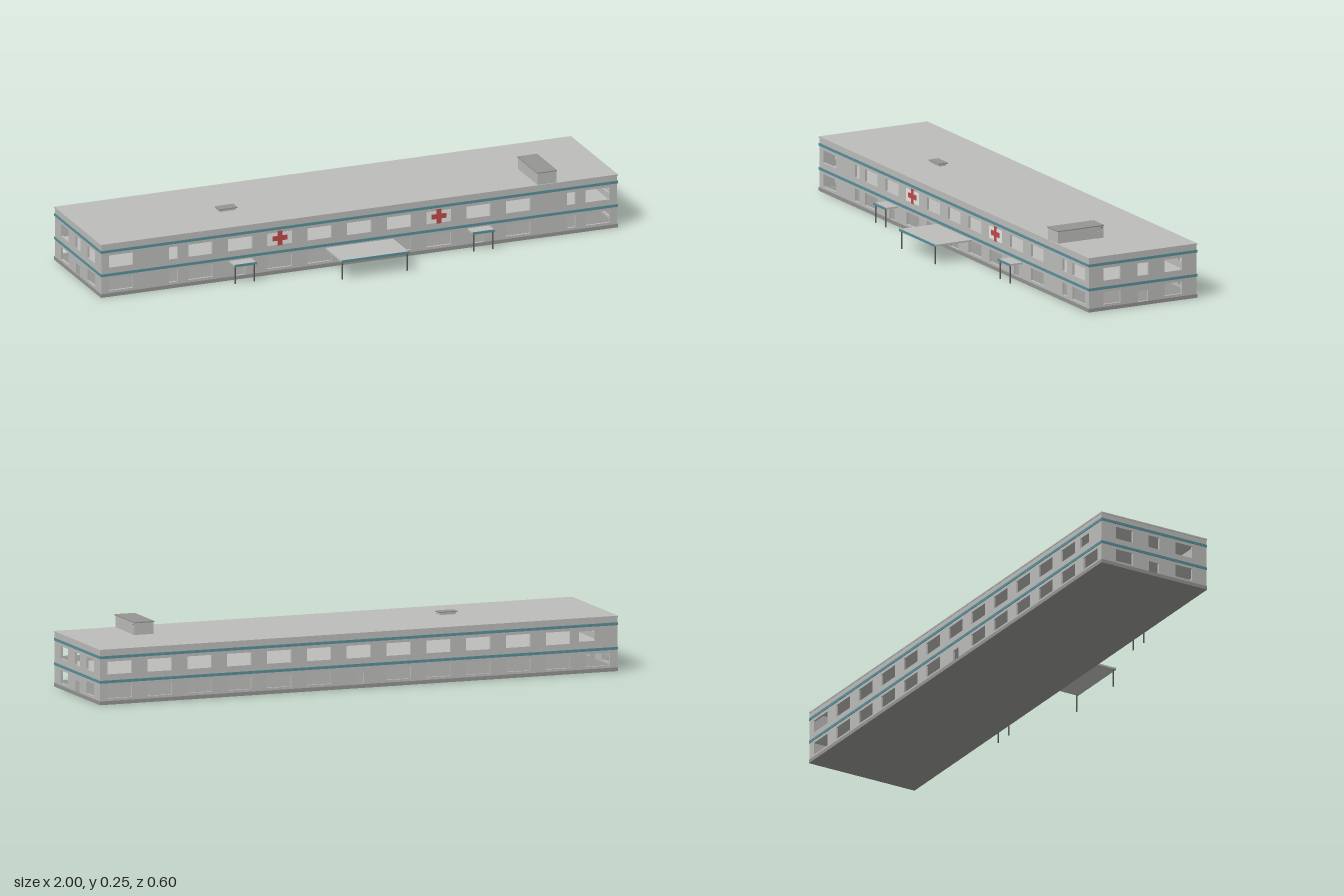
import * as THREE from 'three';

const mat = (name, color) => {
  const m = new THREE.MeshStandardMaterial({ color });
  m.name = name;
  return m;
};

export function createModel() {
  const wall = mat('wall grey', 0xbcbcba);
  const trim = mat('trim grey', 0x949493);
  const teal = mat('teal', 0x5a909a);
  const red = mat('red', 0xc04a4a);
  const white = mat('white', 0xf6f6f4);
  const metal = mat('dark metal', 0x5c5c5c);

  const model = new THREE.Group();
  model.name = 'building';

  // Box given by its extents on each axis
  const box = (name, m, x0, x1, y0, y1, z0, z1, parent = model) => {
    const mesh = new THREE.Mesh(new THREE.BoxGeometry(x1 - x0, y1 - y0, z1 - z0), m);
    mesh.position.set((x0 + x1) / 2, (y0 + y1) / 2, (z0 + z1) / 2);
    mesh.name = name;
    parent.add(mesh);
    return mesh;
  };

  const X = 0.998, ZB = -0.296, ZF = 0.144, T = 0.008;
  const BASE = 0.013, TOP = 0.197;
  const UP = [0.11, 0.156], LOW = [0.022, 0.068], DOOR = [0.0135, 0.054];

  // Wall panel in its own plane, with rectangular openings [u0, u1, [y0, y1]]
  const panel = (name, u0, u1, openings) => {
    const rect = (path, a, b, c, d) =>
      path.moveTo(a, c).lineTo(b, c).lineTo(b, d).lineTo(a, d).lineTo(a, c);
    const shape = new THREE.Shape();
    rect(shape, u0, u1, BASE, TOP);
    for (const [a, b, [c, d]] of openings) {
      const hole = new THREE.Path();
      rect(hole, a, b, c, d);
      shape.holes.push(hole);
    }
    const geo = new THREE.ExtrudeGeometry(shape, { depth: T, bevelEnabled: false });
    const mesh = new THREE.Mesh(geo, wall);
    mesh.name = name;
    model.add(mesh);
    return mesh;
  };
  const opening = (x, w, ys) => [x - w / 2, x + w / 2, ys];

  // Window bays along the long walls
  const STEP = 0.1537, W = 0.094;
  const front = [], back = [];
  for (let i = -6; i <= 6; i++) {
    const x = i * STEP;
    if (i === -5 || i === 5) {
      // Narrow stair windows on the front
      const nx = i < 0 ? -0.719 : 0.82;
      front.push(opening(nx, 0.034, UP), opening(nx, 0.034, LOW));
    } else {
      front.push(opening(x, W, UP));
      if (i === 0) front.push(opening(x, 0.06, DOOR));
      else if (Math.abs(i) === 3) front.push(opening(x, 0.04, DOOR));
      else front.push(opening(x, W, LOW));
    }
    back.push(i === -6 ? [-0.91, -0.85, [0.115, 0.152]] : opening(x, W, UP));
    back.push(i === 0 ? opening(x, 0.038, DOOR) : opening(x, W, LOW));
  }
  panel('frontWall', -X, X, front).position.z = ZF - T;
  panel('backWall', -X, X, back).position.z = ZB;

  // End walls, drawn with u = -z and turned to face sideways
  const ends = [];
  for (const ys of [UP, LOW]) ends.push([-0.084, -0.014, ys], [0.165, 0.236, ys]);
  ends.push([0.054, 0.099, UP], [0.056, 0.098, DOOR]);
  for (const s of [-1, 1]) {
    const end = panel(s > 0 ? 'leftEndWall' : 'rightEndWall', -ZF + T, -ZB - T, ends);
    end.rotation.y = Math.PI / 2;
    end.position.x = s > 0 ? X - T : -X;
  }

  // Plinth, upper floor and flat roof
  box('plinth', trim, -1, 1, 0, 0.0135, ZB - 0.002, ZF + 0.002);
  box('upperFloor', wall, -X + T, X - T, 0.079, 0.087, ZB + T, ZF - T);
  box('roof', wall, -1, 1, 0.196, 0.201, ZB - 0.002, ZF + 0.002);

  // Teal bands around all four sides
  for (const [y0, y1] of [[0.078, 0.088], [0.167, 0.177]]) {
    const band = new THREE.Group();
    band.name = 'tealBand';
    box('bandFront', teal, -1, 1, y0, y1, ZF, ZF + 0.002, band);
    box('bandBack', teal, -1, 1, y0, y1, ZB - 0.002, ZB, band);
    box('bandLeft', teal, X, 1, y0, y1, ZB, ZF, band);
    box('bandRight', teal, -1, -X, y0, y1, ZB, ZF, band);
    model.add(band);
  }

  // White panels with red crosses
  for (const s of [-1, 1]) {
    const x = s * 2 * STEP, y = 0.135;
    const sign = new THREE.Group();
    sign.name = 'crossSign';
    box('signPanel', white, x - W / 2, x + W / 2, UP[0], UP[1], ZF - 0.004, ZF + 0.001, sign);
    box('crossUpright', red, x - 0.009, x + 0.009, y - 0.027, y + 0.027, ZF, ZF + 0.003, sign);
    for (const t of [-1, 1])
      box('crossArm', red, x + Math.min(t * 0.009, t * 0.028), x + Math.max(t * 0.009, t * 0.028),
        y - 0.009, y + 0.009, ZF, ZF + 0.003, sign);
    model.add(sign);
  }

  // Entrance canopies on two posts
  const canopy = (name, x, halfWidth, z1) => {
    const g = new THREE.Group();
    g.name = name;
    box('canopyRoof', wall, x - halfWidth, x + halfWidth, 0.067, 0.073, ZF, z1 - 0.002, g);
    box('canopyFascia', teal, x - halfWidth, x + halfWidth, 0.066, 0.075, z1 - 0.002, z1, g);
    for (const s of [-1, 1]) {
      const px = x + s * (halfWidth - 0.006);
      box('canopyPost', metal, px - 0.002, px + 0.002, 0, 0.067, z1 - 0.01, z1 - 0.006, g);
    }
    model.add(g);
  };
  canopy('mainCanopy', 0, 0.131, 0.298);
  canopy('leftCanopy', 3 * STEP, 0.043, 0.197);
  canopy('rightCanopy', -3 * STEP, 0.043, 0.197);

  // Rooftop stair house with its door
  box('stairHouse', wall, 0.691, 0.764, 0.2, 0.244, -0.044, 0.142);
  box('stairHouseRoof', trim, 0.689, 0.766, 0.244, 0.248, -0.046, 0.144);
  box('stairHouseDoor', wall, 0.764, 0.766, 0.201, 0.227, -0.039, -0.014);
  box('doorLamp', metal, 0.764, 0.768, 0.238, 0.24, -0.038, -0.032);

  // Low roof hatch
  box('hatchBase', wall, -0.473, -0.411, 0.2, 0.209, -0.05, -0.02);
  box('hatchLid', trim, -0.478, -0.406, 0.209, 0.213, -0.054, -0.015);

  return model;
}
